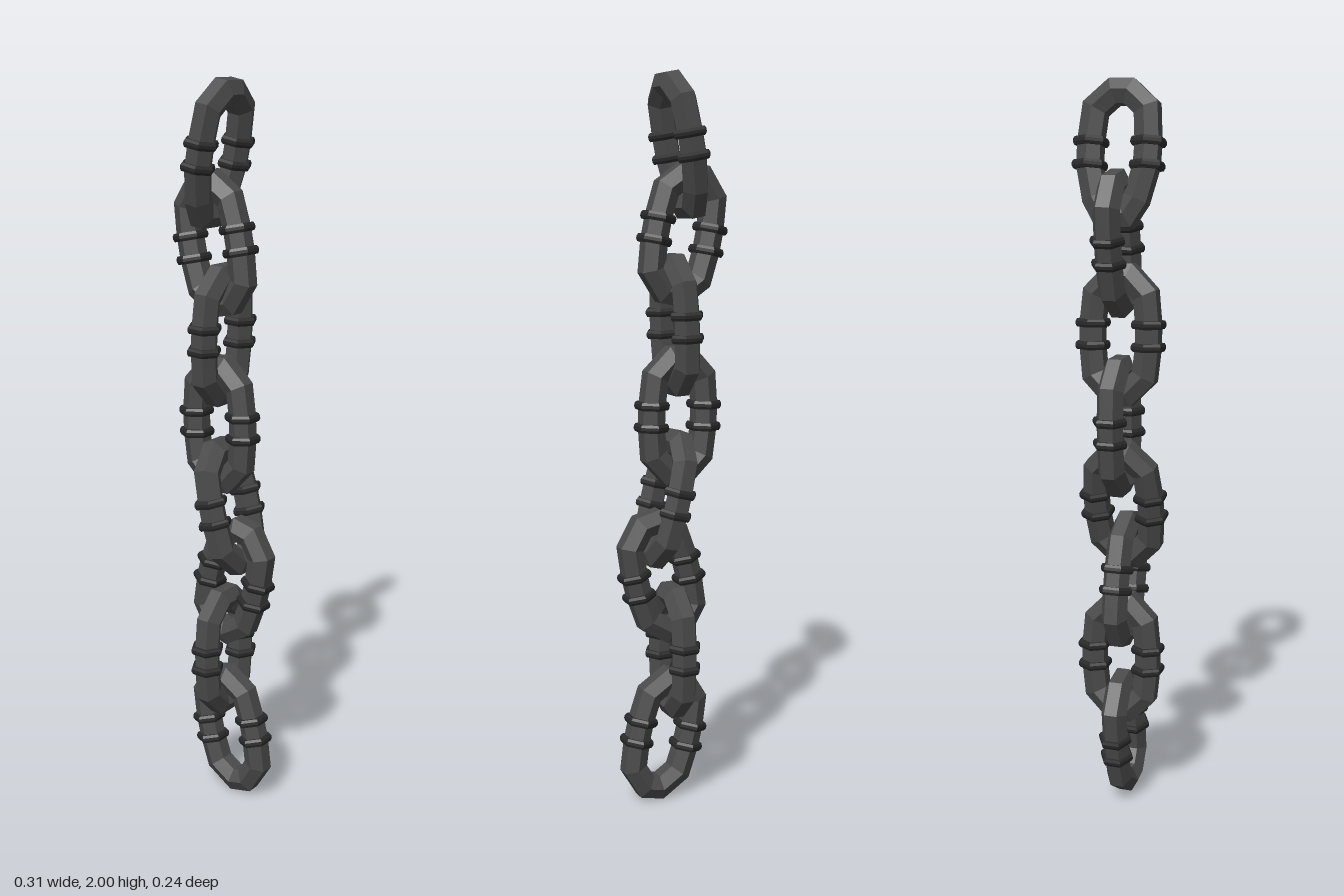
import * as THREE from 'three';

const iron = new THREE.MeshStandardMaterial({ color: 0x4a4a4a, flatShading: true });
const darkIron = new THREE.MeshStandardMaterial({ color: 0x2a2a2a, flatShading: true });

// Closed hexagonal bar swept around a polygonal loop in the xy plane, with mitred corners
function linkGeometry(half, radius) {
  const mirrored = half.map(([x, y]) => [-x, y]).reverse();
  const path = [...half, ...mirrored].map(([x, y]) => new THREE.Vector2(x, y));
  const n = path.length, sides = 6, pos = [], index = [];
  path.forEach((p, i) => {
    const a = p.clone().sub(path[(i + n - 1) % n]).normalize();
    const b = path[(i + 1) % n].clone().sub(p).normalize();
    const t = a.clone().add(b).normalize();
    const out = new THREE.Vector2(-t.y, t.x);
    const miter = 1 / t.dot(a);
    for (let j = 0; j < sides; j++) {
      const ang = j * Math.PI * 2 / sides;
      const d = radius * Math.sin(ang) * miter;
      pos.push(p.x + out.x * d, p.y + out.y * d, radius * Math.cos(ang));
      const k = (j + 1) % sides, m = (i + 1) % n;
      const q = [i * sides + j, m * sides + j, m * sides + k, i * sides + k];
      index.push(q[0], q[1], q[2], q[0], q[2], q[3]);
    }
  });
  const g = new THREE.BufferGeometry();
  g.setAttribute('position', new THREE.Float32BufferAttribute(pos, 3));
  g.setIndex(index);
  g.computeVertexNormals();
  return g;
}

// Right half of a link's centre line, from top to bottom
const regular = [[0.022, 0.157], [0.07, 0.108], [0.078, 0.03], [0.078, -0.03], [0.07, -0.108], [0.022, -0.157]];
const tapered = [[0.022, 0.157], [0.07, 0.115], [0.078, 0.03], [0.077, -0.03], [0.056, -0.115], [0.03, -0.157]];

// Bevelled six-sided collar
const collarGeo = new THREE.LatheGeometry(
  [[0.034, -0.011], [0.044, -0.011], [0.048, -0.004], [0.048, 0.004], [0.044, 0.011], [0.034, 0.011]]
    .map(([x, y]) => new THREE.Vector2(x, y)), 6);

const regularGeo = linkGeometry(regular, 0.037);
const taperedGeo = linkGeometry(tapered, 0.037);

function makeLink(geo) {
  const link = new THREE.Group();
  const bar = new THREE.Mesh(geo, iron);
  bar.name = 'linkBar';
  link.add(bar);
  for (const x of [-0.078, 0.078]) {
    for (const y of [-0.03, 0.03]) {
      const collar = new THREE.Mesh(collarGeo, darkIron);
      collar.name = 'collar';
      collar.position.set(x, y, 0);
      link.add(collar);
    }
  }
  return link;
}

export function createModel() {
  const chain = new THREE.Group();
  chain.name = 'chain';
  // Each link: centre x, centre y, lean; every other one is turned a quarter
  const links = [
    [-0.027, 1.812, -0.19],
    [-0.037, 1.582, 0.2],
    [-0.014, 1.342, -0.04],
    [-0.024, 1.095, 0.03],
    [0.013, 0.868, 0.24],
    [0.025, 0.65, -0.25],
    [-0.008, 0.432, 0],
    [0.02, 0.192, 0.23],
  ];
  links.forEach(([x, y, lean], i) => {
    const link = makeLink(i === 0 ? taperedGeo : regularGeo);
    link.name = `link${i + 1}`;
    link.position.set(x, y, 0);
    link.rotation.set(0, i % 2 === 0 ? Math.PI / 2 : 0, lean, 'ZYX');
    chain.add(link);
  });
  return chain;
}
